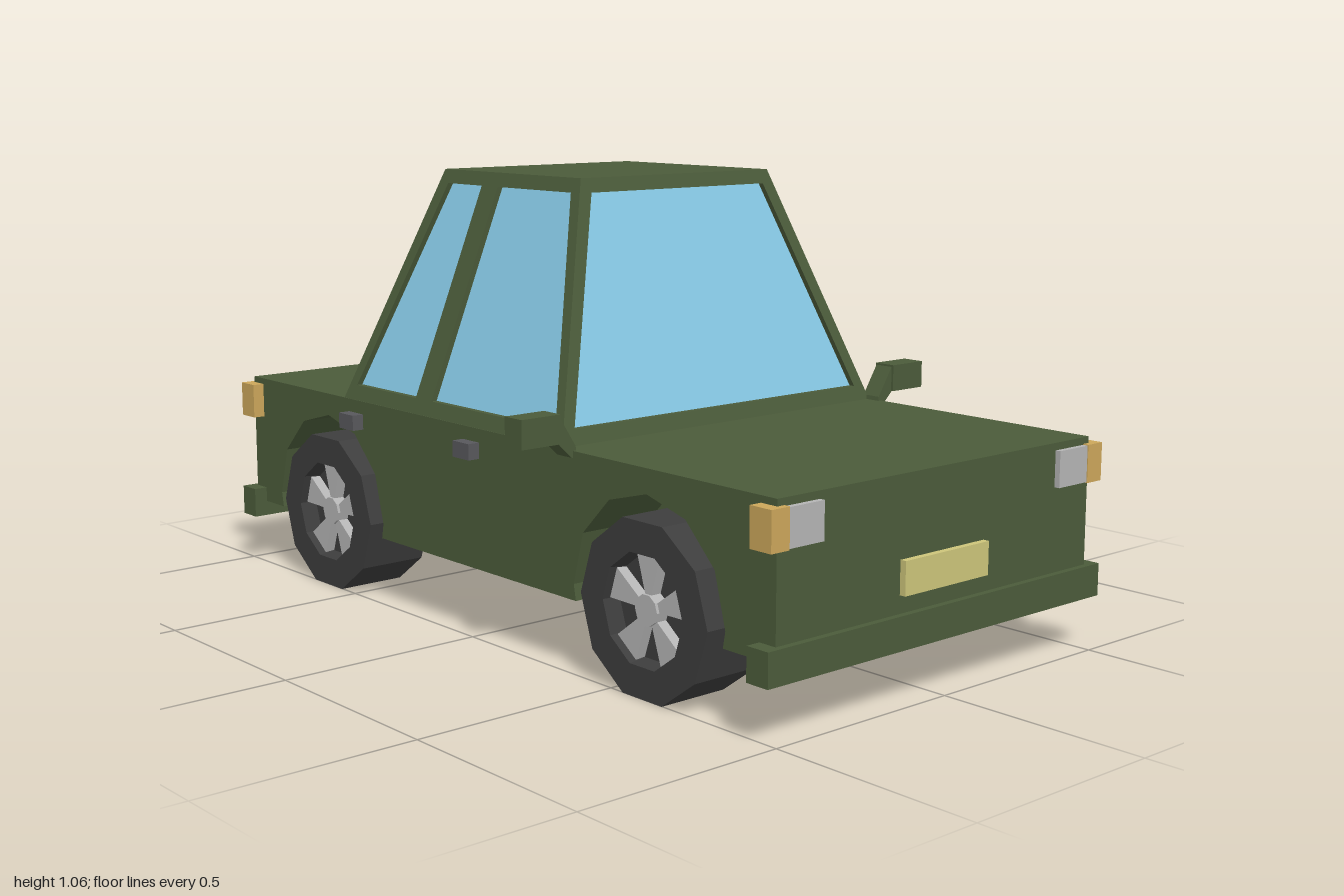
import * as THREE from 'three';

const mat = (color, extra = {}) => new THREE.MeshStandardMaterial({ color, flatShading: true, ...extra });
const paint = mat(0x4b5b3a);
const glass = mat(0x87c9e6, { side: THREE.DoubleSide });
const rubber = mat(0x3d3d3d);
const alloy = mat(0xb4b4b4);
const amber = mat(0xcba65a);
const plateYellow = mat(0xccc47a);
const handleGrey = mat(0x58585c);

const AXLES = [0.603, -0.62];
const WHEEL_Y = 0.192;

function add(parent, name, geometry, material) {
  const mesh = new THREE.Mesh(geometry, material);
  mesh.name = name;
  parent.add(mesh);
  return mesh;
}

// Box given by its minimum and maximum on each axis
function block(parent, name, material, [x0, x1], [y0, y1], [z0, z1]) {
  const g = new THREE.BoxGeometry(Math.abs(x1 - x0), y1 - y0, Math.abs(z1 - z0));
  g.translate((x0 + x1) / 2, (y0 + y1) / 2, (z0 + z1) / 2);
  return add(parent, name, g, material);
}

const polygon = (pts) => new THREE.Shape(pts.map(([x, y]) => new THREE.Vector2(x, y)));
const extrude = (shape, depth) => new THREE.ExtrudeGeometry(shape, { depth, bevelEnabled: false });

// Lower body: a centre block between two side slabs with twelve-sided arches
function buildBody(car) {
  const body = new THREE.Group();
  body.name = 'body';
  const bottom = 0.163, top = 0.495, end = 0.985, inner = 0.3, outer = 0.49;
  block(body, 'bodyCentre', paint, [-inner, inner], [bottom, top], [-end, end]);
  const pts = [[end, bottom], [end, top], [-end, top], [-end, bottom]];
  for (const z of AXLES) {
    const r = 0.24, u = -z;
    pts.push([u - 0.233, bottom]);
    for (let k = 6; k >= 0; k--) {
      const a = (k * Math.PI) / 6;
      pts.push([u + r * Math.cos(a), 0.2 + r * Math.sin(a)]);
    }
    pts.push([u + 0.233, bottom]);
  }
  for (const x of [inner, -outer]) {
    const g = extrude(polygon(pts), outer - inner).rotateY(Math.PI / 2).translate(x, 0, 0);
    add(body, 'bodySide', g, paint);
  }
  car.add(body);
}

// Cabin: four leaning frames with recessed panes, closed by a flat roof
function buildCabin(car) {
  const cabin = new THREE.Group();
  cabin.name = 'cabin';
  const y0 = 0.49, y1 = 1.063, w0 = 0.53, w1 = 1.03;

  // outline: [low left, low right, top right, top left]; lean: outward distance at y0 and y1
  function wall(name, angle, lean, outline, windows) {
    const quad = ([a, b, c, d], lo, hi) => [[a, lo], [b, lo], [c, hi], [d, hi]];
    const place = (g, offset) => {
      const p = g.attributes.position;
      for (let i = 0; i < p.count; i++) {
        const t = (p.getY(i) - y0) / (y1 - y0);
        p.setZ(i, p.getZ(i) + offset + THREE.MathUtils.lerp(lean[0], lean[1], t));
      }
      g.rotateY(angle).computeVertexNormals();
      return g;
    };
    const frame = polygon(quad(outline, y0, y1));
    for (const w of windows) {
      frame.holes.push(polygon(quad(w, w0, w1)));
      add(cabin, name + 'Glass', place(new THREE.ShapeGeometry(polygon(quad(w, w0, w1))), -0.015), glass);
    }
    add(cabin, name + 'Frame', place(extrude(frame, 0.025), -0.025), paint);
  }

  const front = [0.325, 0.152], back = [0.547, 0.372], side = [0.49, 0.293];
  const across = [-side[0], side[0], side[1], -side[1]];
  const screen = [-0.445, 0.445, 0.27, -0.27];
  wall('windscreen', 0, front, across, [screen]);
  wall('rearWindow', Math.PI, back, across, [screen]);

  const along = [-back[0], front[0], front[1], -back[1]];
  const doors = [[-0.185, 0.285, 0.13, -0.145], [-0.505, -0.25, -0.208, -0.345]];
  const flip = ([a, b, c, d]) => [-b, -a, -d, -c];
  wall('rightSide', -Math.PI / 2, side, along, doors);
  wall('leftSide', Math.PI / 2, side, flip(along), doors.map(flip));

  const roof = new THREE.PlaneGeometry(2 * side[1], front[1] + back[1]).rotateX(-Math.PI / 2);
  roof.translate(0, y1, (front[1] - back[1]) / 2);
  add(cabin, 'roof', roof, mat(0x4b5b3a, { side: THREE.DoubleSide }));
  car.add(cabin);
}

// Ten-sided wheel facing +x, with a dished rim and five wedge spokes
function buildWheel() {
  const wheel = new THREE.Group();
  wheel.name = 'wheel';
  const profile = [[0, -0.088], [0.201, -0.088], [0.201, 0.088], [0.127, 0.088], [0.122, 0.045], [0, 0.045]];
  const tyre = new THREE.LatheGeometry(profile.map(([r, h]) => new THREE.Vector2(r, h)), 10);
  add(wheel, 'tyre', tyre.rotateZ(-Math.PI / 2), rubber);
  for (let i = 0; i < 5; i++) {
    const a = Math.PI / 2 + (i * 2 * Math.PI) / 5;
    const at = (r, d) => [r * Math.cos(a + d), r * Math.sin(a + d)];
    const wedge = polygon([at(0.03, -0.3), at(0.124, -0.3), at(0.124, 0.3), at(0.03, 0.3)]);
    add(wheel, 'spoke', extrude(wedge, 0.03).rotateY(Math.PI / 2).translate(0.04, 0, 0), alloy);
  }
  const hub = new THREE.CylinderGeometry(0.035, 0.035, 0.04, 10).rotateZ(-Math.PI / 2);
  add(wheel, 'hub', hub.translate(0.057, 0, 0), alloy);
  return wheel;
}

export function createModel() {
  const car = new THREE.Group();
  car.name = 'car';
  buildBody(car);
  buildCabin(car);

  for (const s of [1, -1]) {
    for (const z of AXLES) {
      const wheel = buildWheel();
      wheel.position.set(s * 0.414, WHEEL_Y, z);
      if (s < 0) wheel.rotation.y = Math.PI;
      car.add(wheel);
    }

    // Door handles
    for (const z of [-0.01, -0.492]) {
      block(car, 'doorHandle', handleGrey, [s * 0.48, s * 0.52], [0.425, 0.463], [z - 0.031, z + 0.031]);
    }

    // Wing mirror: slanted arm, housing and rear-facing glass
    const mirror = new THREE.Group();
    mirror.name = 'wingMirror';
    const arm = [[0.478, 0.48], [0.493, 0.48], [0.53, 0.515], [0.53, 0.58], [0.482, 0.505]];
    add(mirror, 'mirrorArm', extrude(polygon(arm.map(([x, y]) => [s * x, y])), 0.05).translate(0, 0, 0.312), paint);
    block(mirror, 'mirrorHousing', paint, [s * 0.527, s * 0.633], [0.515, 0.58], [0.31, 0.368]);
    block(mirror, 'mirrorGlass', glass, [s * 0.54, s * 0.62], [0.527, 0.568], [0.308, 0.312]);
    car.add(mirror);
  }

  // Bumpers, number plates and lights, alike at both ends
  for (const e of [1, -1]) {
    block(car, 'bumper', paint, [-0.525, 0.525], [0.125, 0.2], [e * 0.94, e]);
    block(car, 'numberPlate', plateYellow, [-0.132, 0.132], [0.24, 0.315], [e * 0.97, e]);
    for (const s of [1, -1]) {
      block(car, 'lamp', alloy, [s * 0.372, s * 0.47], [0.395, 0.478], [e * 0.95, e * 0.998]);
      block(car, 'indicator', amber, [s * 0.47, s * 0.52], [0.393, 0.48], [e * 0.94, e]);
    }
  }
  return car;
}
